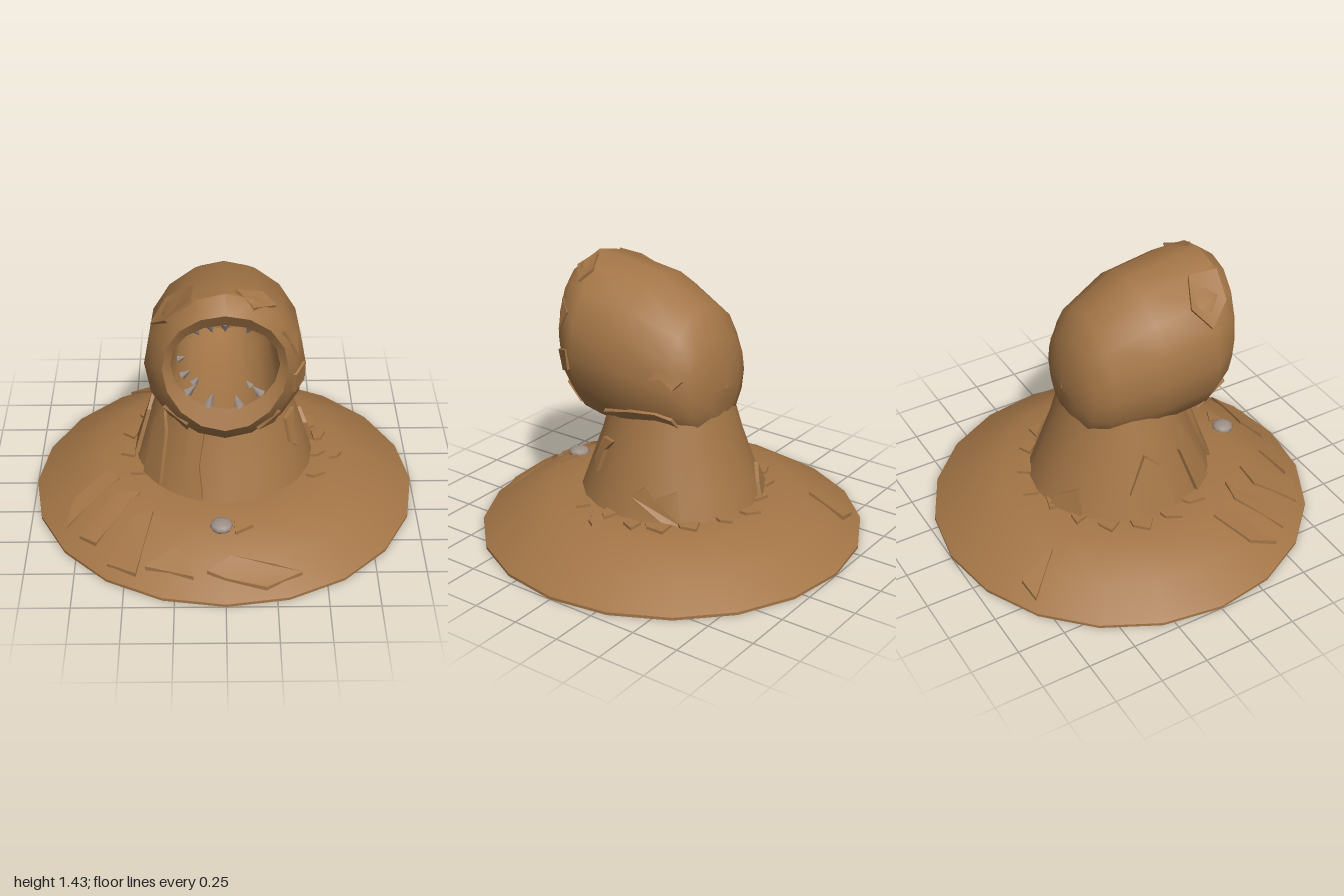
import * as THREE from 'three';
import { toCreasedNormals } from 'three/addons/utils/BufferGeometryUtils.js';

const { lerp, degToRad } = THREE.MathUtils;

// Skin between rings of equal point count
function loft(rings) {
  const n = rings[0].length, index = [];
  for (let j = 0; j < rings.length - 1; j++) {
    for (let i = 0; i < n; i++) {
      const k = (i + 1) % n, a = j * n + i, b = j * n + k, c = b + n, d = a + n;
      index.push(a, b, c, a, c, d);
    }
  }
  const g = new THREE.BufferGeometry();
  g.setAttribute('position', new THREE.Float32BufferAttribute(rings.flat().flatMap((p) => p.toArray()), 3));
  g.setIndex(index);
  return toCreasedNormals(g, 0.75);
}

// Interpolate a row of numbers by its first entry
function rowAt(rows, v) {
  let i = 0;
  while (i < rows.length - 2 && v > rows[i + 1][0]) i++;
  const t = (v - rows[i][0]) / (rows[i + 1][0] - rows[i][0]);
  return rows[i].map((x, k) => lerp(x, rows[i + 1][k], t));
}

// Head sections: z, bottom, top, half width, forward bend at top and bottom
const HEAD = [
  [-0.335, 0.84, 0.86, 0.005, 0],
  [-0.32, 0.7, 1.0, 0.14, 0],
  [-0.28, 0.6, 1.11, 0.24, 0],
  [-0.2, 0.55, 1.24, 0.31, 0],
  [0.05, 0.52, 1.37, 0.38, 0],
  [0.35, 0.55, 1.41, 0.39, 0],
  [0.45, 0.61, 1.42, 0.34, 0.005],
  [0.49, 0.71, 1.35, 0.3, 0.05],
];
const MOUTH = [
  [0.47, 0.81, 1.28, 0.26, 0.03],
  [0.38, 0.82, 1.27, 0.25, 0],
  [0.05, 0.84, 1.25, 0.23, 0],
  [-0.1, 0.9, 1.18, 0.15, 0],
  [-0.12, 1.03, 1.05, 0.005, 0],
];
// Neck sections: y, half width, half depth
const NECK = [[0.2, 0.47, 0.49], [0.36, 0.42, 0.43], [0.55, 0.36, 0.36], [0.74, 0.3, 0.31], [0.75, 0.005, 0.005]];
// Base slope: radius, height
const BASE = [[0, 0.225], [0.45, 0.225], [0.64, 0.215], [0.82, 0.13], [0.985, 0.025], [1, 0.015]];

function section([z, y0, y1, hw, bend], t, out = 0) {
  const s = Math.sin(t);
  return new THREE.Vector3((hw + out) * Math.cos(t), (y0 + y1) / 2 + ((y1 - y0) / 2 + out) * s, z + bend * s * s);
}
const onHead = (deg, z, out) => section(rowAt(HEAD, z), degToRad(deg), out);
function onNeck(deg, y, out) {
  const [, w, d] = rowAt(NECK, y), t = degToRad(deg);
  return new THREE.Vector3((w + out) * Math.cos(t), y, (d + out) * Math.sin(t) - 0.005);
}
function onBase(deg, r, out) {
  const t = degToRad(deg);
  return new THREE.Vector3(r * Math.cos(t), rowAt(BASE, r)[1] + out, r * Math.sin(t));
}

// Raised chip of clay that follows a surface
function chipGeometry(surface, outline, height) {
  const shape = new THREE.Shape(outline.map(([u, v]) => new THREE.Vector2(u, v)));
  const g = new THREE.ExtrudeGeometry(shape, { depth: 1, bevelEnabled: false });
  const p = g.attributes.position;
  for (let i = 0; i < p.count; i++) {
    const q = surface(p.getX(i), p.getY(i), lerp(-0.015, height, p.getZ(i)));
    p.setXYZ(i, q.x, q.y, q.z);
  }
  return toCreasedNormals(g, 0.5);
}

export function createModel() {
  const clay = new THREE.MeshStandardMaterial({ color: 0xa37546, side: THREE.DoubleSide });
  clay.name = 'brown clay';
  const bone = new THREE.MeshStandardMaterial({ color: 0x9c8f86 });
  bone.name = 'grey bone';
  const model = new THREE.Group();
  const add = (name, geometry, material = clay, parent = model) => {
    const mesh = new THREE.Mesh(geometry, material);
    mesh.name = name;
    parent.add(mesh);
    return mesh;
  };
  let seed = 7;
  const rand = () => (seed = (seed * 16807) % 2147483647) / 2147483647;

  // Round sloping base
  const profile = [[0, 0], [1, 0], ...BASE.slice().reverse()].map(([r, y]) => new THREE.Vector2(r, y));
  add('base', toCreasedNormals(new THREE.LatheGeometry(profile, 20), 0.6));

  // Neck
  const sides = [...Array(20).keys()].map((i) => (i / 20) * 360);
  add('neck', loft(NECK.map(([y]) => sides.map((a) => onNeck(-a, y, 0)))));

  // Head with hollow mouth
  const angles = [...Array(16).keys()].map((i) => (i / 16) * Math.PI * 2);
  const ring = (row) => angles.map((t) => section(row, t));
  add('head', loft([...HEAD, MOUTH[0]].map(ring)));
  add('mouthCavity', loft(MOUTH.map(ring)));

  // Teeth around the mouth rim: angle, length, z
  const teeth = new THREE.Group();
  teeth.name = 'teeth';
  model.add(teeth);
  const rows = [
    [62, 0.05, 0.46], [90, 0.05, 0.48], [107, 0.06, 0.46], [125, 0.05, 0.45],
    [-48, 0.07, 0.46], [-75, 0.07, 0.48], [-108, 0.08, 0.48], [-135, 0.07, 0.46],
    [-148, 0.07, 0.38], [-128, 0.06, 0.36], [-160, 0.06, 0.3], [-60, 0.05, 0.36],
  ];
  for (const [deg, length, z] of rows) {
    const t = degToRad(deg);
    const tooth = add('tooth', new THREE.ConeGeometry(0.028, length, 5), bone, teeth);
    const inward = new THREE.Vector3(-Math.cos(t), -Math.sin(t), 0);
    tooth.position.copy(section([z, 0.815, 1.275, 0.255, 0], t)).addScaledVector(inward, length * 0.4);
    tooth.quaternion.setFromUnitVectors(new THREE.Vector3(0, 1, 0), inward);
  }

  // Pebble on the base
  const pebble = add('pebble', new THREE.SphereGeometry(0.058, 10, 6), bone);
  pebble.scale.y = 0.5;
  pebble.position.set(-0.02, 0.217, 0.645);

  // Folds of clay on the neck
  const neckFolds = [
    [[106, 0.6], [118, 0.62], [121, 0.42], [117, 0.24], [104, 0.24], [108, 0.4]],
    [[-8, 0.22], [-8, 0.34], [-17, 0.4], [-24, 0.34], [-38, 0.38], [-40, 0.22], [-28, 0.24]],
    [[18, 0.56], [34, 0.55], [36, 0.43], [28, 0.38], [26, 0.5]],
    [[135, 0.24], [140, 0.5], [150, 0.62], [158, 0.5], [152, 0.24]],
    [[172, 0.24], [178, 0.48], [190, 0.55], [202, 0.36], [194, 0.24]],
    [[232, 0.23], [238, 0.36], [252, 0.3], [256, 0.23]],
  ];
  neckFolds.forEach((o) => add('neckFold', chipGeometry(onNeck, o, 0.018)));

  // Chips on the head
  const headChips = [
    [[-38, 0.2], [-27, 0.02], [-24, -0.12], [-27, -0.2], [-47, -0.22], [-50, -0.12], [-40, 0]],
    [[4, -0.1], [18, -0.16], [14, -0.25], [3, -0.22], [9, -0.17]],
    [[112, 0.3], [135, 0.24], [152, 0.32], [142, 0.44], [118, 0.45]],
    [[50, 0.4], [64, 0.36], [82, 0.42], [66, 0.47]],
    [[-6, 0.46], [2, 0.38], [-12, 0.37], [-20, 0.44]],
    [[10, 0.45], [26, 0.4], [34, 0.47]],
    [[212, 0.44], [226, 0.3], [242, 0.36], [236, 0.47]],
    [[298, 0.46], [310, 0.4], [322, 0.46]],
  ];
  headChips.forEach((o) => add('headChip', chipGeometry(onHead, o, 0.014)));

  // Torn clay around the foot of the neck
  for (let i = 0; i < 13; i++) {
    const a = 150 + i * 19 + rand() * 6, w = 8 + rand() * 8, r = 0.45 + rand() * 0.05;
    const outline = [[a, r], [a + w, r - 0.01], [a + w * 0.9, r + 0.03], [a + w * 0.3, r + 0.07]];
    add('collarChip', chipGeometry(onBase, outline, 0.015));
  }

  // Wedges and ridges on the base slope
  const wedges = [
    [[66, 0.92], [74, 0.86], [88, 0.8], [96, 0.87], [90, 0.9], [78, 0.95]],
    [[100, 0.9], [108, 0.78], [116, 0.9]],
    [[118, 0.94], [124, 0.64], [131, 0.72], [128, 0.95]],
    [[136, 0.9], [138, 0.58], [146, 0.66], [143, 0.92]],
    [[150, 0.93], [154, 0.6], [162, 0.64], [158, 0.84]],
    [[236, 0.95], [238, 0.72], [243, 0.9]],
    [[4, 0.62], [10, 0.56], [8, 0.6]],
    [[78, 0.66], [86, 0.6], [86, 0.69]],
  ];
  wedges.forEach((o) => add('baseWedge', chipGeometry(onBase, o, 0.016)));

  return model;
}
